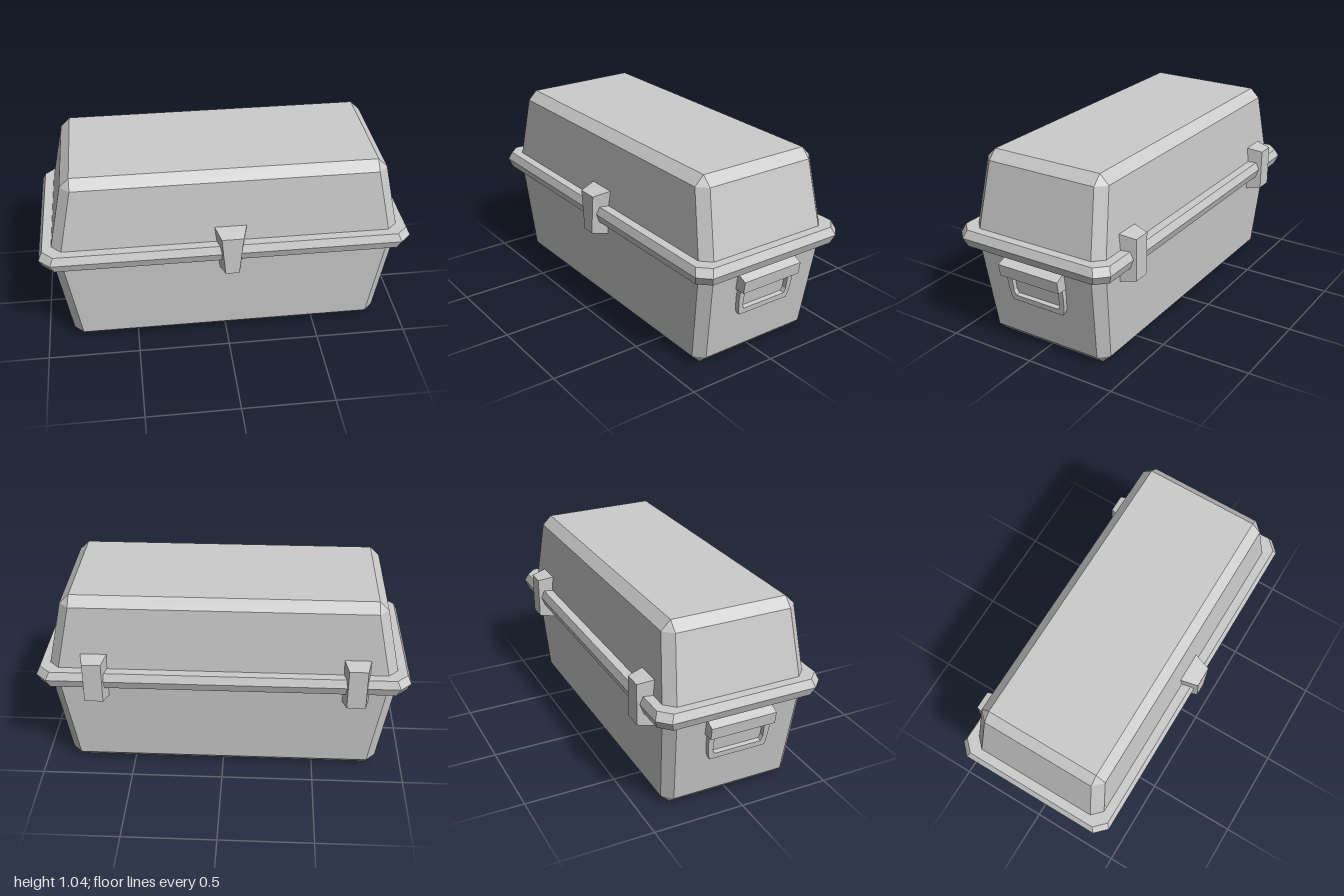
import * as THREE from 'three';

const material = new THREE.MeshStandardMaterial({ color: 0xcccccc, flatShading: true });

function add(parent, name, geometry) {
  const mesh = new THREE.Mesh(geometry, material);
  mesh.name = name;
  parent.add(mesh);
  return mesh;
}

// Closed solid through rings of points, each counter-clockwise about the stacking direction
function loft(rings) {
  const positions = [];
  const tri = (a, b, c) => {
    const area = b.clone().sub(a).cross(c.clone().sub(a)).length();
    if (area > 1e-8) for (const p of [a, b, c]) positions.push(p.x, p.y, p.z);
  };
  const n = rings[0].length;
  for (let r = 0; r < rings.length - 1; r++) {
    const a = rings[r], b = rings[r + 1];
    for (let i = 0; i < n; i++) {
      const j = (i + 1) % n;
      tri(a[i], a[j], b[j]);
      tri(a[i], b[j], b[i]);
    }
  }
  const first = rings[0], last = rings[rings.length - 1];
  for (let i = 1; i < n - 1; i++) {
    tri(first[0], first[i + 1], first[i]);
    tri(last[0], last[i], last[i + 1]);
  }
  const geometry = new THREE.BufferGeometry();
  geometry.setAttribute('position', new THREE.Float32BufferAttribute(positions, 3));
  geometry.computeVertexNormals();
  return geometry;
}

// Horizontal rectangle at height y with corners cut by c
function cutRect(y, hx, hz, c) {
  return [
    [hx, hz - c], [hx, c - hz], [hx - c, -hz], [c - hx, -hz],
    [-hx, c - hz], [-hx, hz - c], [c - hx, hz], [hx - c, hz],
  ].map(([x, z]) => new THREE.Vector3(x, y, z - 0.004));
}

// Upright four-sided ring at depth z, with separate bottom and top half widths
function uprightRect(z, y0, y1, w0, w1) {
  return [[-w0, y0], [w0, y0], [w1, y1], [-w1, y1]].map(([x, y]) => new THREE.Vector3(x, y, z));
}

// Hinged plate above a hanging bail, facing +x
function sideHandle() {
  const group = new THREE.Group();

  const profile = new THREE.Shape([
    [0.9, 0.433], [0.975, 0.433], [0.986, 0.5], [0.94, 0.52], [0.9, 0.52],
  ].map((p) => new THREE.Vector2(...p)));
  const plate = add(group, 'handleBracket',
    new THREE.ExtrudeGeometry(profile, { depth: 0.366, bevelEnabled: false }));
  plate.position.z = -0.183;

  // Bail: U outline, tilted to lie along the sloping wall
  const outline = new THREE.Shape([
    [-0.175, 0.17], [-0.175, 0.1], [-0.167, 0.025], [-0.158, 0], [0.158, 0], [0.167, 0.025],
    [0.175, 0.1], [0.175, 0.17], [0.144, 0.17], [0.144, 0.055], [0.134, 0.032],
    [-0.134, 0.032], [-0.144, 0.055], [-0.144, 0.17],
  ].map((p) => new THREE.Vector2(...p)));
  const bailGeometry = new THREE.ExtrudeGeometry(outline, { depth: 0.045, bevelEnabled: false });
  bailGeometry.rotateY(Math.PI / 2);
  bailGeometry.rotateZ(-0.152);
  add(group, 'handleBail', bailGeometry).position.set(0.872, 0.284, -0.004);
  return group;
}

export function createModel() {
  const model = new THREE.Group();
  model.name = 'toolChest';

  // Tub and lid
  add(model, 'tub', loft([
    cutRect(0, 0.805, 0.317, 0),
    cutRect(0.05, 0.856, 0.368, 0.051),
    cutRect(0.595, 0.94, 0.4, 0.053),
  ]));
  add(model, 'lid', loft([
    cutRect(0.595, 0.94, 0.4, 0.053),
    cutRect(0.99, 0.856, 0.368, 0.051),
    cutRect(1.04, 0.805, 0.317, 0),
  ]));

  // Projecting rim around the seam
  add(model, 'rim', loft([
    cutRect(0.547, 0.98, 0.445, 0.06),
    cutRect(0.595, 1.0, 0.462, 0.06),
    cutRect(0.638, 0.98, 0.445, 0.06),
  ]));

  // Front latch, narrowing downwards and outwards
  add(model, 'latch', loft([
    uprightRect(0.37, 0.461, 0.728, 0.062, 0.09),
    uprightRect(0.48, 0.483, 0.705, 0.037, 0.058),
  ])).position.x = 0.018;

  // Rear hinges
  for (const x of [-0.712, 0.686]) {
    const hinge = add(model, 'hinge', loft([
      uprightRect(0.37, 0.461, 0.728, 0.076, 0.076),
      uprightRect(0.48, 0.48, 0.708, 0.05, 0.05),
    ]));
    hinge.rotation.y = Math.PI;
    hinge.position.x = x;
  }

  // Carrying handles on both ends
  ['leftHandle', 'rightHandle'].forEach((name, i) => {
    const handle = sideHandle();
    handle.name = name;
    handle.rotation.y = i * Math.PI;
    model.add(handle);
  });

  return model;
}
